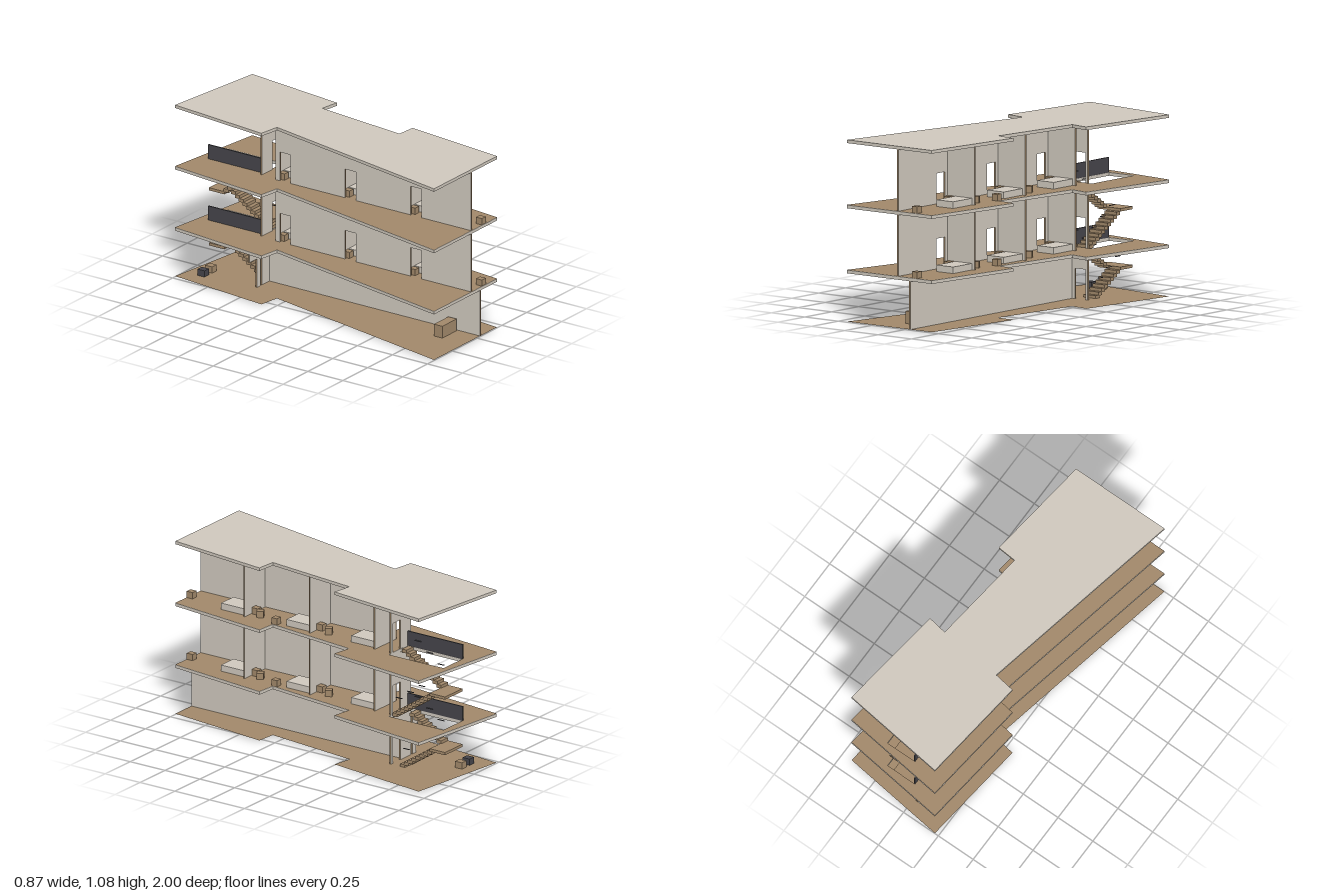
import * as THREE from 'three';

const mat = (name, color) => Object.assign(new THREE.MeshStandardMaterial({ color }), { name });

export function createModel() {
  const root = new THREE.Group();
  root.name = 'openHotelBlock';
  const plaster = mat('plaster', 0xcfc8bd);
  const wood = mat('wood', 0xa1886a);
  const dark = mat('darkMetal', 0x45444a);
  const floorMat = mat('floorWood', 0xa1886a);
  floorMat.side = THREE.DoubleSide;

  const add = (name, geo, material, parent = root) => {
    const m = new THREE.Mesh(geo, material);
    m.name = name;
    parent.add(m);
    return m;
  };
  // box given by its minimum and maximum corners
  const box = (name, x0, x1, y0, y1, z0, z1, material, parent) => {
    const m = add(name, new THREE.BoxGeometry(x1 - x0, y1 - y0, z1 - z0), material, parent);
    m.position.set((x0 + x1) / 2, (y0 + y1) / 2, (z0 + z1) / 2);
    return m;
  };

  // floor outline as x, z pairs
  const plan = [[-0.435, 1], [0.2, 1], [0.28, 0.34], [0.16, 0.33], [0.23, -0.27], [0.35, -0.25],
    [0.435, -0.915], [-0.225, -1], [-0.3, -0.33], [-0.17, -0.31]];
  const toShape = (pts) => new THREE.Shape(pts.map(([x, z]) => new THREE.Vector2(x, -z)));
  const stairHole = [[-0.01, -0.515], [0.18, -0.515], [0.18, -0.91], [-0.01, -0.91]];
  const outline = (open) => {
    const s = toShape(plan);
    if (open) s.holes.push(toShape(stairHole));
    return s;
  };
  const floorSheet = (y, open) =>
    add('floor', new THREE.ShapeGeometry(outline(open)).rotateX(-Math.PI / 2), floorMat).position.y = y;
  const slab = (name, y, open) => add(name, new THREE.ExtrudeGeometry(outline(open),
    { depth: 0.019, bevelEnabled: false }).rotateX(-Math.PI / 2), plaster).position.y = y;

  floorSheet(0.001, false);
  slab('firstSlab', 0.286, true);
  floorSheet(0.3065, true);
  slab('secondSlab', 0.67, true);
  floorSheet(0.6905, true);
  slab('roofSlab', 1.055, false);

  // wall of length a..b with door openings [from, to]; plaster faces, wooden edges
  const T = 0.01, DOOR = 0.18;
  const wallGeo = (a, b, h, doors) => {
    const s = new THREE.Shape();
    s.moveTo(a, 0);
    for (const [d0, d1] of doors) {
      if (d0 > a) s.lineTo(d0, 0);
      s.lineTo(d0, DOOR);
      s.lineTo(d1, DOOR);
      s.lineTo(d1, 0);
    }
    s.lineTo(b, 0);
    s.lineTo(b, h);
    s.lineTo(a, h);
    return new THREE.ExtrudeGeometry(s, { depth: T, bevelEnabled: false });
  };
  const crossWall = (name, z, y, h, x0, x1, doors = []) =>
    add(name, wallGeo(x0, x1, h, doors), [plaster, wood]).position.set(0, y, z - T / 2);
  // long walls run along z, shape coordinate is -z
  const longWall = (name, x, y, h, z0, z1, doors = []) =>
    add(name, wallGeo(-z1, -z0, h, doors).rotateY(Math.PI / 2), [plaster, wood])
      .position.set(x - T / 2, y, 0);

  // ground floor
  longWall('groundLongWall', 0.035, 0, 0.286, -0.505, 1);
  crossWall('groundStairWall', -0.511, 0, 0.286, -0.045, 0.155, [[0.06, 0.138]]);
  const side = new THREE.Shape([[-0.095, 0], [-0.058, 0], [-0.058, 0.286], [-0.17, 0.286],
    [-0.17, DOOR], [-0.095, DOOR]].map((p) => new THREE.Vector2(...p)));
  add('groundSideWall', new THREE.ExtrudeGeometry(side, { depth: T, bevelEnabled: false }),
    [plaster, wood]).position.z = -0.516;
  box('receptionDesk', -0.125, 0.02, 0, 0.075, 0.78, 0.84, wood);
  box('lobbySeat', -0.062, -0.018, 0, 0.04, -0.9, -0.85, wood);
  box('darkLobbySeat', -0.14, -0.095, 0, 0.04, -0.9, -0.85, dark);

  // the two bedroom floors
  const partitions = [0.54, 0.07, -0.395];
  for (const y of [0.305, 0.69]) {
    const h = 0.366;
    longWall('corridorWall', -0.055, y, h, -0.4, 1,
      partitions.map((z) => [-z - 0.105, -z - 0.027]));
    crossWall('stairWall', -0.511, y, h, -0.045, 0.155, [[0.06, 0.138]]);
    for (const z of partitions) {
      crossWall('roomPartition', z, y, h, -0.05, 0.155);
      box('bed', 0.01, 0.135, y, y + 0.04, z + 0.005, z + 0.18, plaster);
      box('nightstand', -0.04, 0, y, y + 0.04, z + 0.006, z + 0.046, wood);
    }
    for (const z of [0.977, 0.51, 0.045]) box('stool', 0.05, 0.09, y, y + 0.04, z - 0.021, z + 0.021, wood);
    box('stool', 0.12, 0.16, y, y + 0.04, 0.3, 0.34, wood);
    for (const z of [0.462, -0.03]) {
      const seat = box('turnedStool', 0.08, 0.12, y, y + 0.04, z - 0.021, z + 0.021, wood);
      seat.rotation.y = 0.5;
    }
    box('stairRailing', -0.018, -0.01, y, y + 0.09, -0.91, -0.515, dark);
  }

  // stairs: two flights with a landing between, and short handrail pieces
  const stairs = (y0, y1, n) => {
    const g = new THREE.Group();
    g.name = 'staircase';
    root.add(g);
    const run = 0.0275, rise = (y1 - y0) / (2 * n + 1), zl = -0.8;
    for (let i = 0; i < n; i++) {
      const zLow = zl + (n - i) * run, yLow = y0 + (i + 1) * rise;
      box('lowerStep', 0.065, 0.155, yLow - 0.021, yLow, zLow - run - 0.006, zLow, wood, g);
      const zUp = zl + i * run, yUp = y0 + (n + 2 + i) * rise;
      box('upperStep', -0.008, 0.058, yUp - 0.021, yUp, zUp - 0.006, zUp + run, wood, g);
      if (i % 3 === 1) {
        box('handrail', 0.149, 0.155, yLow + 0.08, yLow + 0.084, zLow - 0.04, zLow + 0.005, dark, g);
        box('handrail', -0.008, -0.002, yUp + 0.08, yUp + 0.084, zUp - 0.01, zUp + 0.035, dark, g);
      }
    }
    const yl = y0 + (n + 1) * rise;
    box('landing', -0.01, 0.165, yl - 0.017, yl, -0.91, zl, wood, g);
  };
  stairs(0, 0.305, 8);
  stairs(0.305, 0.69, 10);

  return root;
}
